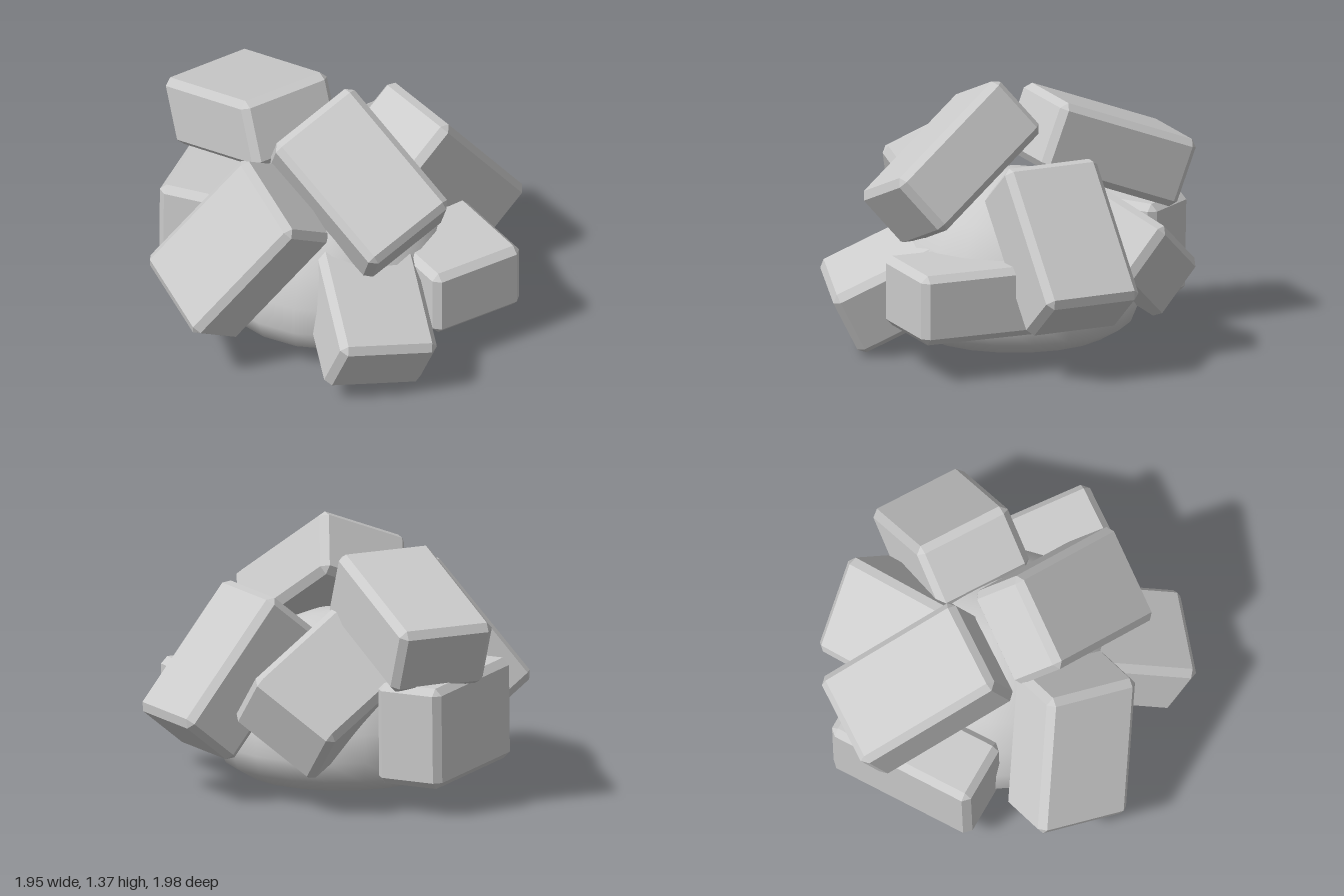
import * as THREE from 'three';
import { ConvexGeometry } from 'three/addons/geometries/ConvexGeometry.js';

const material = new THREE.MeshStandardMaterial({ color: 0xcccccc });

// Box with every edge and corner cut off by a flat bevel b.
function chamferedBox(w, h, d, b) {
  const points = [];
  for (const x of [-1, 1]) for (const y of [-1, 1]) for (const z of [-1, 1]) {
    for (let axis = 0; axis < 3; axis++) {
      const half = [w / 2 - b, h / 2 - b, d / 2 - b];
      half[axis] += b;
      points.push(new THREE.Vector3(x * half[0], y * half[1], z * half[2]));
    }
  }
  return new ConvexGeometry(points);
}

export function createModel() {
  const group = new THREE.Group();

  // Rounded mound in the middle, nearly flat underneath
  const profile = [
    [0, 0], [0.25, 0.03], [0.48, 0.065], [0.59, 0.13], [0.635, 0.24], [0.62, 0.38],
    [0.56, 0.55], [0.45, 0.7], [0.3, 0.82], [0.15, 0.88], [0, 0.9],
  ].map(([r, y]) => new THREE.Vector2(r, y));
  const mound = new THREE.Mesh(new THREE.LatheGeometry(profile, 20), material);
  mound.name = 'mound';
  group.add(mound);

  // Equal blocks: centre, direction of the long side, direction of the middle side
  const blockGeometry = chamferedBox(0.8, 0.36, 0.52, 0.035);
  const blocks = [
    ['upperRightBlock', [-0.535, 0.94, 0.105], [0.935, 0.355, 0.045], [-0.05, 0, 1]],
    ['topLeftBlock', [0.325, 0.955, 0.07], [0.62, -0.42, -0.15], [0, -0.19, 0.46]],
    ['frontBlock', [0.065, 0.635, 0.63], [-0.27, -0.6, 0.4], [0.43, -0.17, 0.04]],
    ['lowerRightBlock', [-0.62, 0.415, 0.25], [0.54, 0.02, 0.84], [0, 1, 0]],
    ['backBlock', [0.05, 0.64, -0.62], [0, -0.77, -0.63], [1, 0, 0]],
    ['lowerLeftBlock', [0.51, 0.375, 0.165], [0.83, -0.44, 0.35], [-0.13, 0.07, 0.46]],
    ['backRightBlock', [-0.36, 0.57, -0.29], [0.3, 0.25, 0.64], [0.32, 0.28, -0.26]],
    ['backLeftBlock', [0.4, 0.38, -0.36], [1, 0, 0.06], [-0.06, 0, 1]],
  ];
  for (const [name, centre, long, middle] of blocks) {
    const u = new THREE.Vector3(...long).normalize();
    const n = new THREE.Vector3(...middle).cross(u).normalize();
    const v = u.clone().cross(n);
    const block = new THREE.Mesh(blockGeometry, material);
    block.name = name;
    block.position.set(...centre);
    block.quaternion.setFromRotationMatrix(new THREE.Matrix4().makeBasis(u, n, v));
    group.add(block);
  }
  return group;
}
